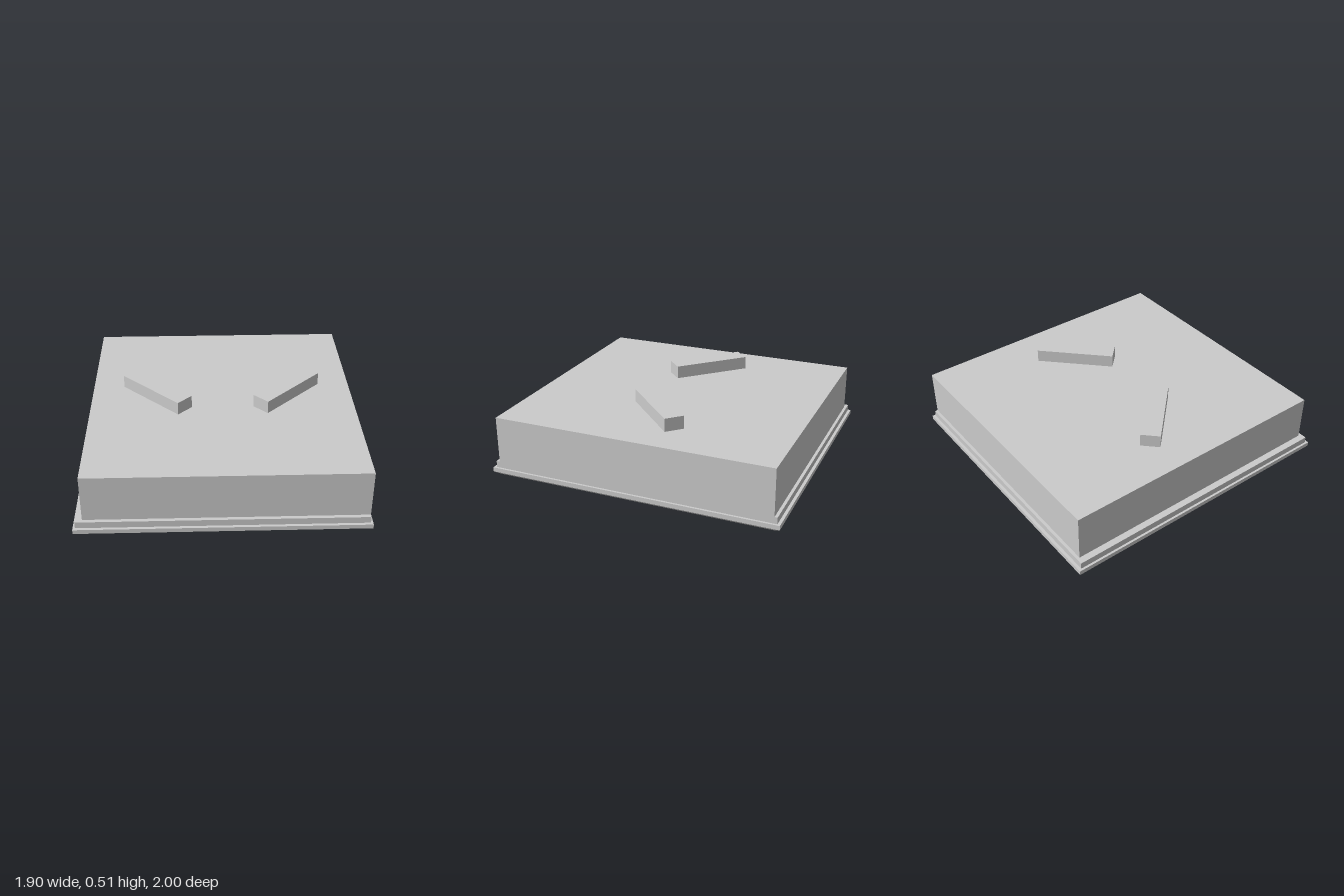
import * as THREE from 'three';

const material = new THREE.MeshStandardMaterial({ color: 0xcccccc, flatShading: true, side: THREE.DoubleSide });

function add(parent, name, geometry) {
  const mesh = new THREE.Mesh(geometry, material);
  mesh.name = name;
  parent.add(mesh);
  return mesh;
}

// Lofts through rectangles given as [x0, x1, z0, z1, y]
function rectLoft(sections) {
  const rows = sections.map(([x0, x1, z0, z1, y]) =>
    [[x0, y, z1], [x1, y, z1], [x1, y, z0], [x0, y, z0]]);
  const pos = [];
  for (let i = 0; i < rows.length - 1; i++) {
    for (let j = 0; j < 4; j++) {
      const k = (j + 1) % 4;
      const [a, b, c, d] = [rows[i][j], rows[i][k], rows[i + 1][k], rows[i + 1][j]];
      pos.push(...a, ...b, ...c, ...a, ...c, ...d);
    }
  }
  const g = new THREE.BufferGeometry();
  g.setAttribute('position', new THREE.Float32BufferAttribute(pos, 3));
  g.computeVertexNormals();
  return g;
}

const centred = (hx, hz, y) => [-hx, hx, -hz, hz, y];

function rectPath(path, cx, cy, hx, hy) {
  path.moveTo(cx - hx, cy - hy);
  path.lineTo(cx + hx, cy - hy);
  path.lineTo(cx + hx, cy + hy);
  path.lineTo(cx - hx, cy + hy);
  path.closePath();
  return path;
}

export function createModel() {
  const group = new THREE.Group();
  group.name = 'recessedCeilingLight';

  // Bottom trim with a chamfered lower edge
  add(group, 'trimFrame', rectLoft([
    centred(0.90, 0.94, 0.03), centred(0.905, 0.95, 0), centred(0.92, 0.965, 0),
    centred(0.95, 1.0, 0.025), centred(0.95, 1.0, 0.055), centred(0.90, 0.94, 0.055),
  ]));

  // Stepped collar above the trim
  add(group, 'collar', rectLoft([
    centred(0.935, 0.98, 0.05), centred(0.935, 0.98, 0.1), centred(0.88, 0.94, 0.1),
  ]));

  // Housing box, open below
  const body = [-0.89, 0.935, -0.96, 0.955];
  add(group, 'housing', rectLoft([[...body, 0.06], [...body, 0.42], [0, 0, 0, 0, 0.42]]));

  // Grid dividing the underside into four deep cells
  const cellX = 0.46, cellZ = 0.475;
  const plate = rectPath(new THREE.Shape(), 0, 0, 0.885, 0.935);
  for (const sx of [-1, 1]) for (const sz of [-1, 1]) {
    plate.holes.push(rectPath(new THREE.Path(), sx * cellX, sz * cellZ, 0.42, 0.435));
  }
  const gridGeometry = new THREE.ExtrudeGeometry(plate, { depth: 0.38, bevelEnabled: false });
  gridGeometry.rotateX(-Math.PI / 2).translate(0, 0.03, 0);
  add(group, 'cellGrid', gridGeometry);

  // Faceted lamps: conical reflector, lip and outer shell
  const profile = [
    [0, 0.24], [0.29, 0.075], [0.31, 0.05], [0.33, 0.05], [0.37, 0.03],
    [0.37, 0.06], [0.35, 0.09], [0.34, 0.14], [0.27, 0.2], [0.12, 0.29], [0, 0.3],
  ].map(([r, y]) => new THREE.Vector2(r, y));
  const lampGeometry = new THREE.LatheGeometry(profile, 14);
  for (const sx of [-1, 1]) for (const sz of [-1, 1]) {
    add(group, 'lamp', lampGeometry).position.set(sx * cellX, 0, sz * cellZ);
  }

  // Slanted mounting blocks on top
  for (const [x, turn] of [[-0.433, -1], [0.475, 1]]) {
    const block = add(group, 'mountingBlock', new THREE.BoxGeometry(0.55, 0.09, 0.133));
    block.position.set(x, 0.465, -0.01);
    block.rotation.y = turn * Math.PI / 4;
  }

  return group;
}
